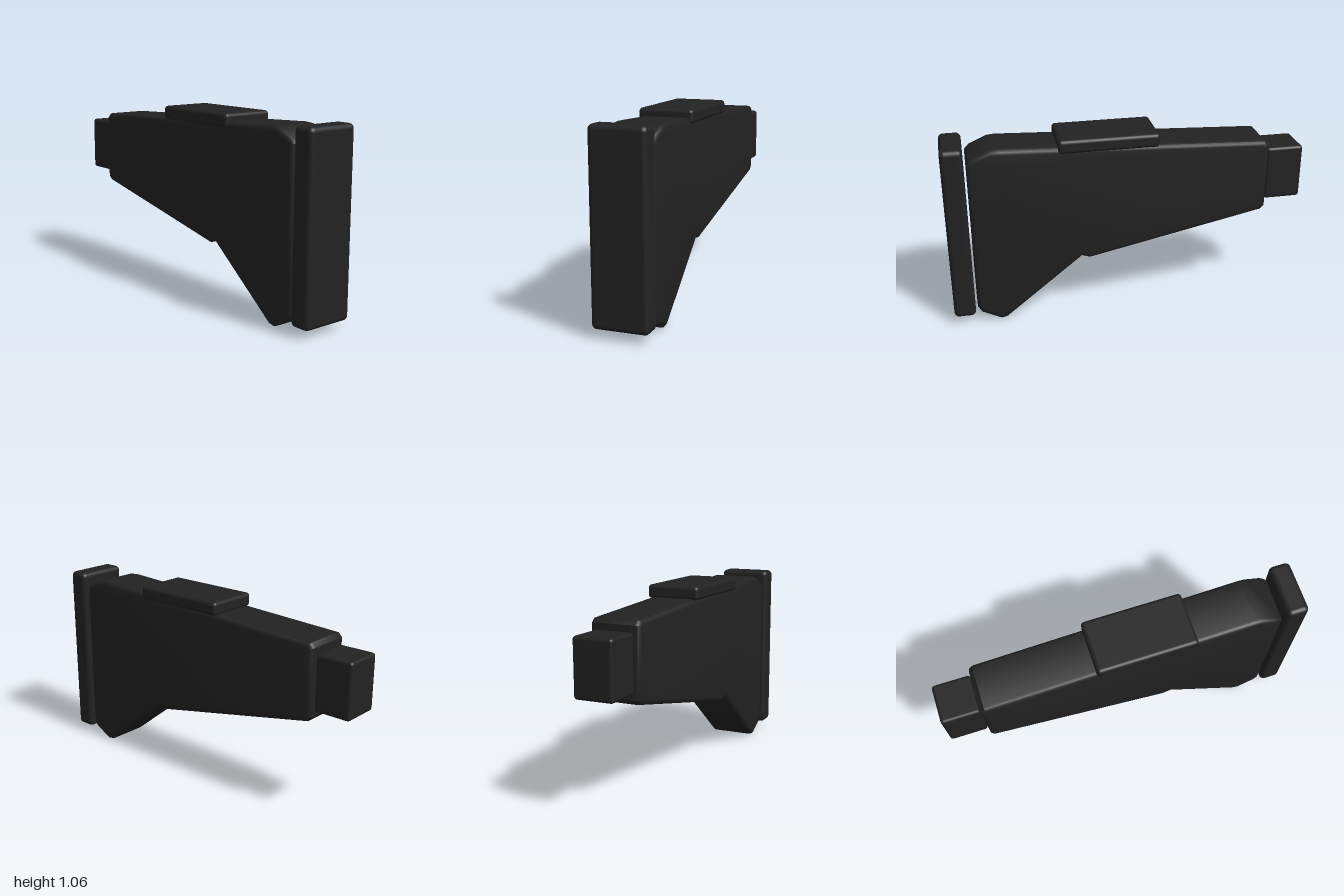
import * as THREE from 'three';
import { toCreasedNormals } from 'three/addons/utils/BufferGeometryUtils.js';
import { RoundedBoxGeometry } from 'three/addons/geometries/RoundedBoxGeometry.js';

export function createModel() {
  const group = new THREE.Group();
  const black = new THREE.MeshStandardMaterial({ color: 0x222222 });
  black.name = 'matte black';

  // Rounded block spanning y0..y1 and z0..z1, centred on x
  function block(name, width, y0, y1, z0, z1, radius) {
    const geometry = new RoundedBoxGeometry(width, y1 - y0, z1 - z0, 3, radius);
    const mesh = new THREE.Mesh(geometry, black);
    mesh.name = name;
    mesh.position.set(0, (y0 + y1) / 2, (z0 + z1) / 2);
    group.add(mesh);
  }

  // Tapered body: side profile as (z, y), extruded across x with rounded edges
  const profile = [
    [0.868, 0.955], [0.845, 0.98], [0.745, 1.025], [0.7, 1.029],
    [-0.765, 0.963], [-0.788, 0.94], [-0.788, 0.57], [-0.765, 0.545],
    [0.225, 0.34], [0.27, 0.355], [0.705, 0.01], [0.74, 0.002],
    [0.845, 0.055], [0.868, 0.09],
  ].map(([z, y]) => new THREE.Vector2(z, y)).reverse();
  const halfWidth = 0.137;
  const bevel = 0.025;
  const depth = 2 * (halfWidth - bevel);
  const bodyGeometry = new THREE.ExtrudeGeometry(new THREE.Shape(profile), {
    depth,
    bevelSize: bevel,
    bevelThickness: bevel,
    bevelOffset: -bevel,
    bevelSegments: 3,
  });
  bodyGeometry.translate(0, 0, -depth / 2);
  bodyGeometry.rotateY(-Math.PI / 2);
  const body = new THREE.Mesh(toCreasedNormals(bodyGeometry, 0.65), black);
  body.name = 'body';
  group.add(body);

  // End plate, raised top pad and rear connector
  block('endPlate', 0.302, 0.048, 1.046, 0.88, 1, 0.027);
  block('topPad', 0.302, 0.983, 1.058, -0.165, 0.385, 0.02);
  block('rearConnector', 0.218, 0.6, 0.908, -1, -0.79, 0.017);

  return group;
}
